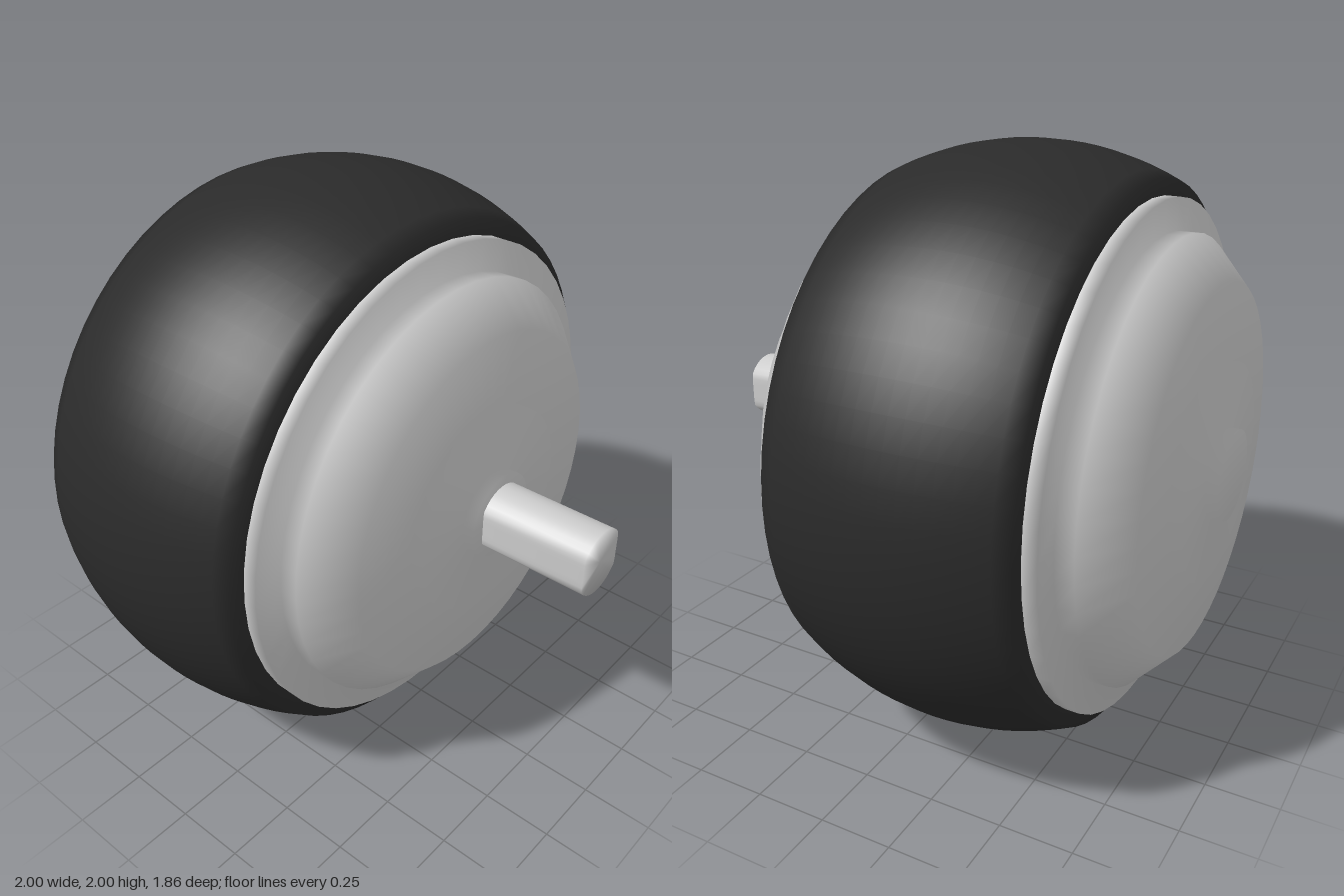
import * as THREE from 'three';
import { mergeVertices } from 'three/addons/utils/BufferGeometryUtils.js';

const MID = -0.19; // z of the wheel's middle plane

// Spins a [radius, z] profile (back to front) around the wheel axis
function spin(profile, segments) {
  const geo = new THREE.LatheGeometry(profile.map(([r, z]) => new THREE.Vector2(r, z)), segments);
  return geo.rotateX(Math.PI / 2);
}

// Welds the vertices so the shading flows smoothly over the edges
function smooth(geo) {
  geo.deleteAttribute('uv');
  geo.deleteAttribute('normal');
  const welded = mergeVertices(geo, 1e-4);
  welded.computeVertexNormals();
  return welded;
}

export function createModel() {
  const model = new THREE.Group();
  const grey = new THREE.MeshStandardMaterial({ color: 0xcccccc });
  const rubber = new THREE.MeshStandardMaterial({ color: 0x2a2a2a });

  const add = (name, geo, material) => {
    const mesh = new THREE.Mesh(geo, material);
    mesh.name = name;
    mesh.position.set(0, 1, MID);
    model.add(mesh);
  };

  // Tyre: crowned tread, with flat side walls running in under the rim
  const half = 0.42, crown = 0.976, steps = 16;
  const tread = [[0.83, -half]];
  for (let i = 0; i <= steps; i++) {
    const z = -half + (2 * half * i) / steps;
    tread.push([1 - crown + Math.sqrt(crown * crown - z * z), z]);
  }
  tread.push([0.83, half]);
  add('tyre', spin(tread, 64), rubber);

  // Hub: stepped end covers, the same on both sides
  const cover = [
    [0.85, 0.42], [0.85, 0.468], [0.745, 0.468], [0.745, 0.53], [0.61, 0.66],
    [0.36, 0.66], [0.36, 0.702], [0.15, 0.702], [0.15, 0.743], [0, 0.743],
  ];
  const back = cover.map(([r, z]) => [r, -z]).reverse();
  add('hub', spin([...back, ...cover], 48), grey);

  // Axle: round shaft with a flat on each side
  const shaft = spin([[0.115, 0.72], [0.115, 1.12], [0, 1.12]], 32);
  const pos = shaft.attributes.position;
  for (let i = 0; i < pos.count; i++) {
    pos.setX(i, THREE.MathUtils.clamp(pos.getX(i), -0.098, 0.098));
  }
  add('axle', smooth(shaft), grey);

  return model;
}
